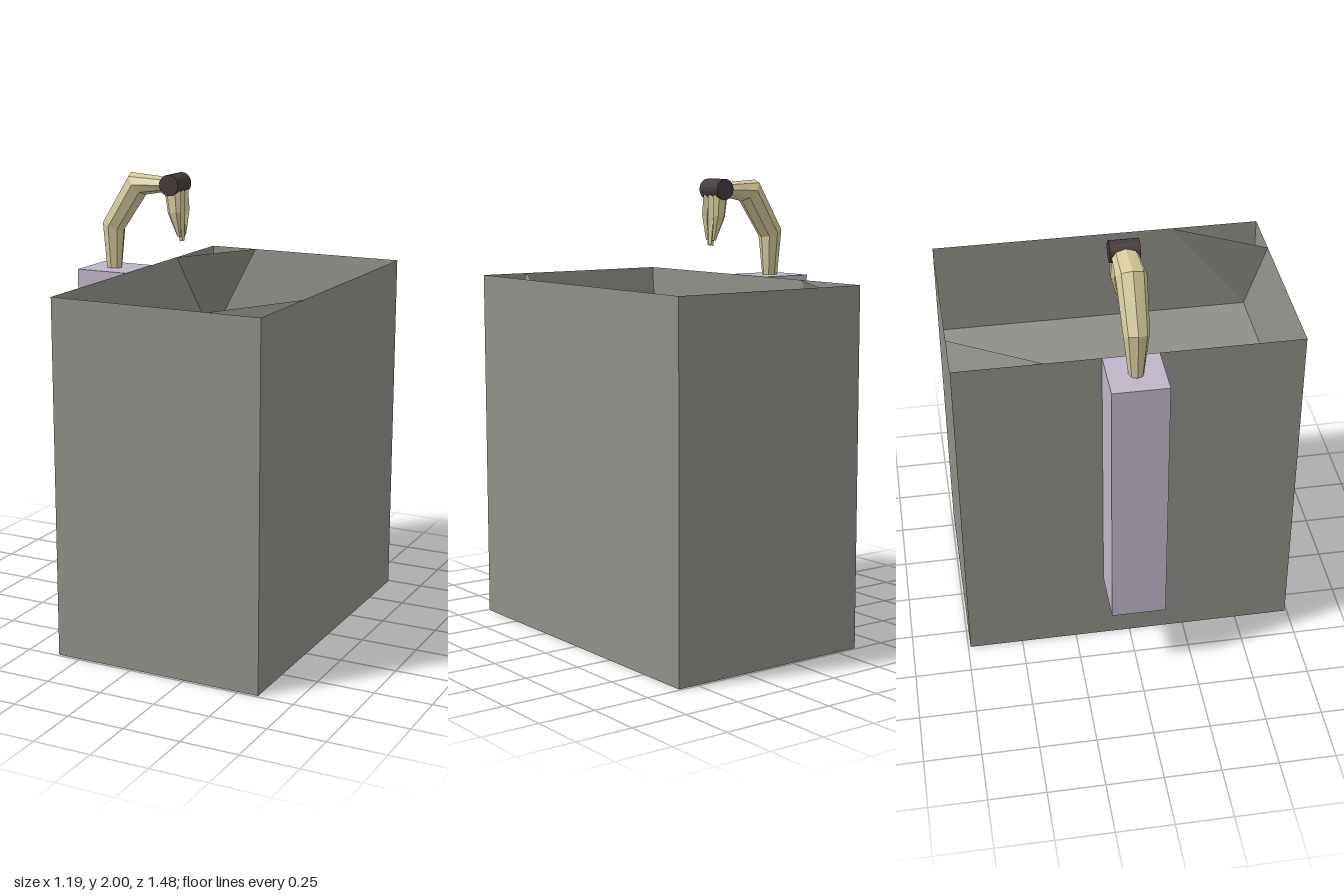
import * as THREE from 'three';

const material = (color, side = THREE.FrontSide) =>
  new THREE.MeshStandardMaterial({ color, side, flatShading: true });
const stone = material(0x8f9088, THREE.DoubleSide);
const lilac = material(0xbfb5c8);
const ivory = material(0xd6cb9c);
const dark = material(0x463b3c);

function addMesh(parent, name, geometry, mat) {
  const mesh = new THREE.Mesh(geometry, mat);
  mesh.name = name;
  parent.add(mesh);
  return mesh;
}

// Fan-fills convex polygons given as lists of points
function polygons(list) {
  const pos = [];
  for (const p of list)
    for (let i = 1; i < p.length - 1; i++) pos.push(...p[0], ...p[i], ...p[i + 1]);
  const g = new THREE.BufferGeometry();
  g.setAttribute('position', new THREE.Float32BufferAttribute(pos, 3));
  g.computeVertexNormals();
  return g;
}

// Skins elliptical rings [outerX, outerY, innerX, innerY, halfWidth, z]
function loft(rings, sides) {
  const loops = rings.map(([ox, oy, ix, iy, w, z = 0]) =>
    Array.from({ length: sides }, (_, i) => {
      const a = (i / sides) * Math.PI * 2, c = Math.cos(a) / 2;
      return [(ox + ix) / 2 + (ox - ix) * c, (oy + iy) / 2 + (oy - iy) * c, z + w * Math.sin(a)];
    }));
  const faces = [[...loops[0]].reverse(), loops[loops.length - 1]];
  for (let r = 0; r < loops.length - 1; r++)
    for (let i = 0; i < sides; i++) {
      const j = (i + 1) % sides;
      faces.push([loops[r][i], loops[r][j], loops[r + 1][j], loops[r + 1][i]]);
    }
  return polygons(faces);
}

export function createModel() {
  const model = new THREE.Group();
  model.name = 'washBasin';

  // Open-topped cabinet: a box without its upper face
  const L = -0.355, R = 0.59, Z = 0.74, top = 1.565, low = 1.125;
  const shell = new THREE.BoxGeometry(R - L, top, 2 * Z);
  const index = Array.from(shell.index.array);
  index.splice(12, 6);
  shell.setIndex(index);
  shell.clearGroups();
  shell.translate((L + R) / 2, top / 2, 0);
  addMesh(model, 'cabinet', shell, stone);

  // Sunken bowl, its walls leaning slightly inward to the floor
  const fl = L + 0.004, fr = R - 0.004, back = -0.72, front = 0.7;
  const floor = [[fl, low, front], [fr, low, front], [fr, low, back], [fl, low, back]];
  const [frontLeft, frontRight, backRight, backLeft] = floor;
  // Rim points where the two slanted corner panels end
  const a = [L, top, -0.36], b = [-0.13, top, -Z];
  const c = [R, top, 0.34], d = [0.36, top, Z];
  const rimFrontLeft = [L, top, Z], rimBackRight = [R, top, -Z];
  addMesh(model, 'bowl', polygons([
    floor,
    [backLeft, frontLeft, rimFrontLeft, a],
    [frontLeft, frontRight, d, rimFrontLeft],
    [frontRight, backRight, rimBackRight, c],
    [backRight, backLeft, b, rimBackRight],
  ]), stone);
  addMesh(model, 'cornerPanels', polygons([[backLeft, a, b], [frontRight, c, d]]), stone);

  // Side post carrying the tap
  const post = new THREE.BoxGeometry(0.245, 1.225, 0.24);
  addMesh(model, 'sidePost', post, lilac).position.set(-0.4775, 0.9525, 0);

  // Bent faceted tap
  const tap = new THREE.Group();
  tap.name = 'tap';
  model.add(tap);
  addMesh(tap, 'spoutArm', loft([
    [-0.515, 1.56, -0.445, 1.56, 0.032],
    [-0.53, 1.775, -0.43, 1.735, 0.054],
    [-0.39, 1.995, -0.315, 1.9, 0.064],
    [-0.17, 1.98, -0.18, 1.925, 0.055],
  ], 8), ivory);

  // Dark barrel across the spout end
  const barrel = new THREE.CylinderGeometry(0.046, 0.046, 0.126, 18);
  barrel.rotateX(Math.PI / 2);
  addMesh(tap, 'barrel', barrel, dark).position.set(-0.17, 1.954, 0);

  // Tapering prongs hanging beneath the barrel
  addMesh(tap, 'middleProng', loft([
    [-0.125, 1.93, -0.2, 1.93, 0.03],
    [-0.122, 1.83, -0.182, 1.83, 0.024],
    [-0.125, 1.77, -0.157, 1.77, 0.021],
    [-0.125, 1.71, -0.15, 1.705, 0.014],
  ], 6), ivory);
  for (const s of [-1, 1])
    addMesh(tap, s > 0 ? 'frontProng' : 'backProng', loft([
      [-0.125, 1.93, -0.205, 1.93, 0.02, 0.035 * s],
      [-0.122, 1.84, -0.185, 1.83, 0.016, 0.041 * s],
      [-0.13, 1.73, -0.15, 1.73, 0.008, 0.022 * s],
    ], 6), ivory);

  return model;
}
